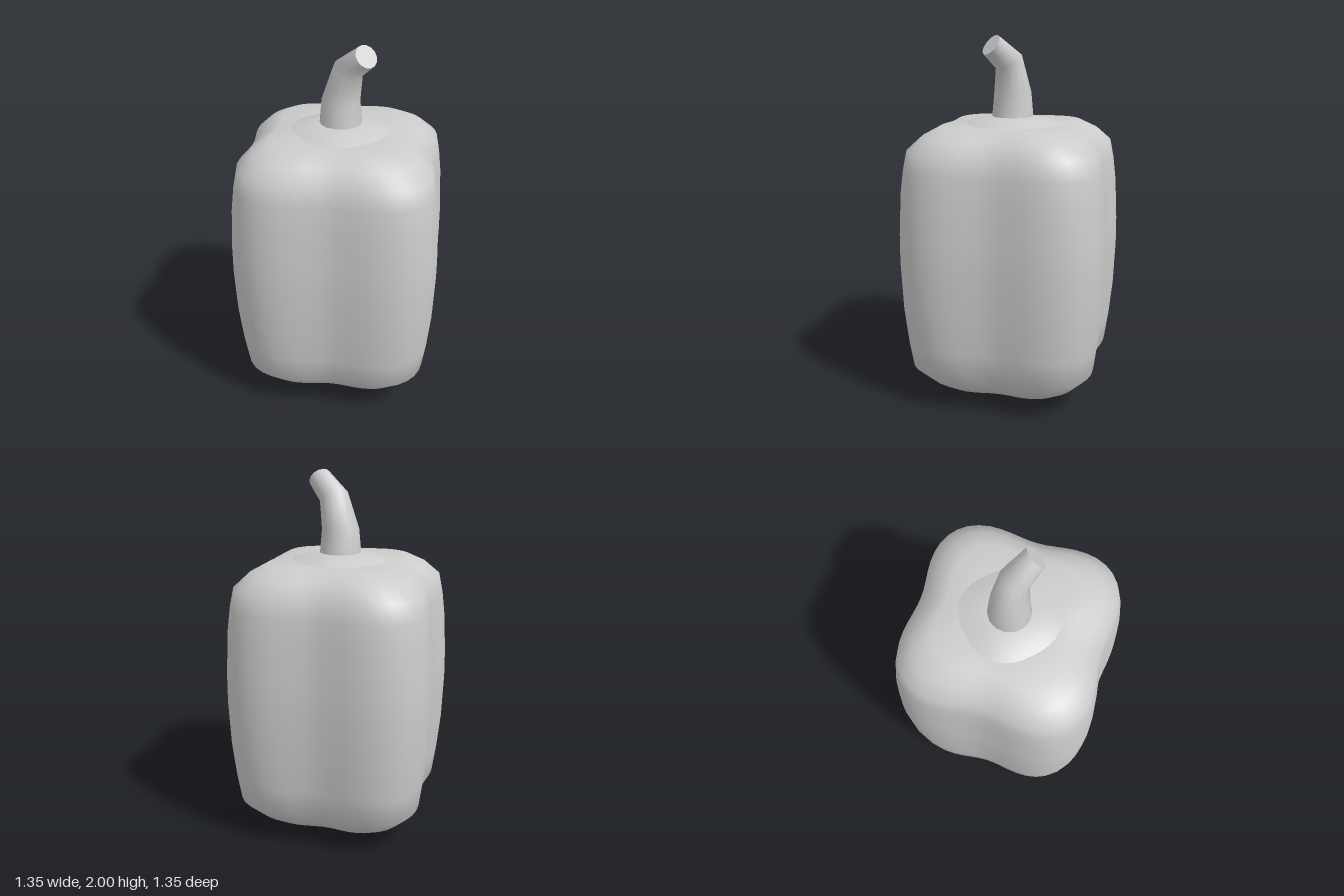
import * as THREE from 'three';
import { mergeVertices } from 'three/addons/utils/BufferGeometryUtils.js';

const material = new THREE.MeshStandardMaterial({ color: 0xcccccc });
material.name = 'plain grey';

// Turn a [radius, height] profile and join the seam so normals are smooth
function turned(profile, segments, shape = () => 1) {
  let g = new THREE.LatheGeometry(profile.map(([r, y]) => new THREE.Vector2(r, y)), segments);
  g.deleteAttribute('uv');
  g.deleteAttribute('normal');
  const p = g.attributes.position;
  for (let i = 0; i < p.count; i++) {
    const f = shape(Math.atan2(p.getX(i), p.getZ(i)));
    p.setXYZ(i, p.getX(i) * f, p.getY(i), p.getZ(i) * f);
  }
  g = mergeVertices(g, 1e-5);
  g.computeVertexNormals();
  return g;
}

// Skin a stack of tilted rings: x, y, z, tilt about z, radius across, radius in z
function stemGeometry(rings, sides) {
  const pos = [], index = [];
  for (const [x, y, z, tilt, ra, rz] of rings) {
    for (let i = 0; i < sides; i++) {
      const a = (i / sides) * Math.PI * 2, c = Math.cos(a) * ra;
      pos.push(x + c * Math.cos(tilt), y - c * Math.sin(tilt), z - Math.sin(a) * rz);
    }
  }
  for (let r = 0; r < rings.length - 1; r++) {
    for (let i = 0; i < sides; i++) {
      const j = (i + 1) % sides, a = r * sides + i, b = r * sides + j;
      index.push(a, b, b + sides, a, b + sides, a + sides);
    }
  }
  // Cut end on its own vertices, so its rim stays sharp
  const last = (rings.length - 1) * sides, cap = pos.length / 3;
  pos.push(...pos.slice(last * 3));
  for (let i = 1; i < sides - 1; i++) index.push(cap, cap + i, cap + i + 1);
  const g = new THREE.BufferGeometry();
  g.setAttribute('position', new THREE.Float32BufferAttribute(pos, 3));
  g.setIndex(index);
  g.computeVertexNormals();
  return g;
}

export function createModel() {
  const model = new THREE.Group();
  model.name = 'pepper';
  const add = (name, geometry) => {
    const mesh = new THREE.Mesh(geometry, material);
    mesh.name = name;
    model.add(mesh);
  };

  // Four-lobed body, widest on the axes
  const body = [
    [0, 0], [0.21, 0.026], [0.42, 0.052], [0.51, 0.105], [0.615, 0.2], [0.64, 0.35],
    [0.663, 0.55], [0.674, 0.8], [0.672, 0.95], [0.658, 1.18], [0.64, 1.31], [0.617, 1.41],
    [0.53, 1.48], [0.42, 1.53], [0.2, 1.524], [0, 1.518],
  ];
  add('body', turned(body, 64, (a) => 0.895 + 0.105 * Math.cos(4 * a)));

  // Low mound around the foot of the stem
  add('calyx', turned(
    [[0.32, 1.505], [0.25, 1.529], [0.2, 1.547], [0.12, 1.565], [0, 1.567]], 32,
    (a) => 1 - 0.05 * Math.cos(4 * a)));

  // Bent stem
  add('stem', stemGeometry([
    [0, 1.55, 0, 0, 0.115, 0.115],
    [0, 1.69, 0, 0.06, 0.102, 0.102],
    [0.037, 1.86, -0.02, 0.53, 0.078, 0.08],
    [0.157, 1.95, -0.04, 0.93, 0.063, 0.063],
  ], 14));

  return model;
}
